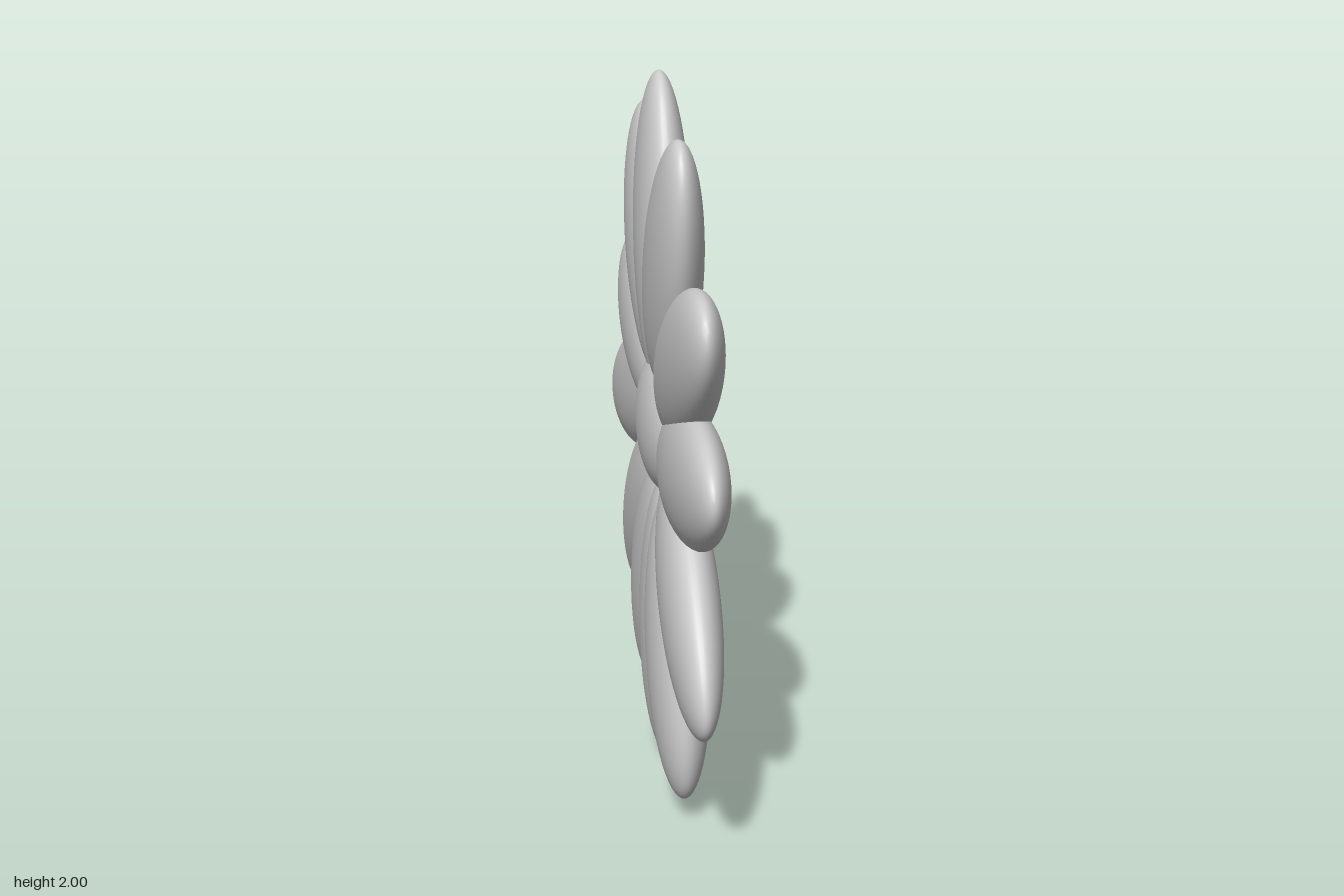
import * as THREE from 'three';

// Each petal: centre z, centre y, angle from upright (degrees), half length, half width, half thickness, sideways tilt
const PETALS = [
  [-0.10, 1.545, -11.5, 0.462, 0.185],
  [-0.35, 1.485, -35, 0.43, 0.19],
  [-0.535, 1.19, -71, 0.41, 0.178],
  [-0.575, 0.95, -107, 0.44, 0.187, 0.08, 0.07],
  [-0.45, 0.60, -139.5, 0.43, 0.177],
  [-0.22, 0.485, -159.5, 0.44, 0.176],
  [0.02, 0.44, 180, 0.44, 0.174],
  [0.28, 0.48, 159, 0.433, 0.182, 0.09],
  [0.52, 0.725, 123, 0.417, 0.18],
  [0.58, 1.09, 78.5, 0.428, 0.177],
  [0.487, 1.348, 60, 0.415, 0.182],
  [0.152, 1.513, 23.5, 0.407, 0.185],
];

export function createModel() {
  const group = new THREE.Group();
  group.name = 'flower';
  const material = new THREE.MeshStandardMaterial({ color: 0xcccccc });
  const sphere = new THREE.SphereGeometry(1, 48, 32);

  // Flattened ellipsoid petals around the centre
  PETALS.forEach(([z, y, angle, length, width, thick = 0.08, tilt = 0], i) => {
    const petal = new THREE.Mesh(sphere, material);
    petal.name = `petal${i + 1}`;
    petal.position.set(0, y, z);
    petal.rotation.set(THREE.MathUtils.degToRad(angle), 0, tilt);
    petal.scale.set(thick, length, width);
    group.add(petal);
  });

  // Round flattened flower centre
  const centre = new THREE.Mesh(sphere, material);
  centre.name = 'flowerCentre';
  centre.position.set(0, 1.043, -0.01);
  centre.scale.set(0.085, 0.208, 0.208);
  group.add(centre);

  return group;
}
